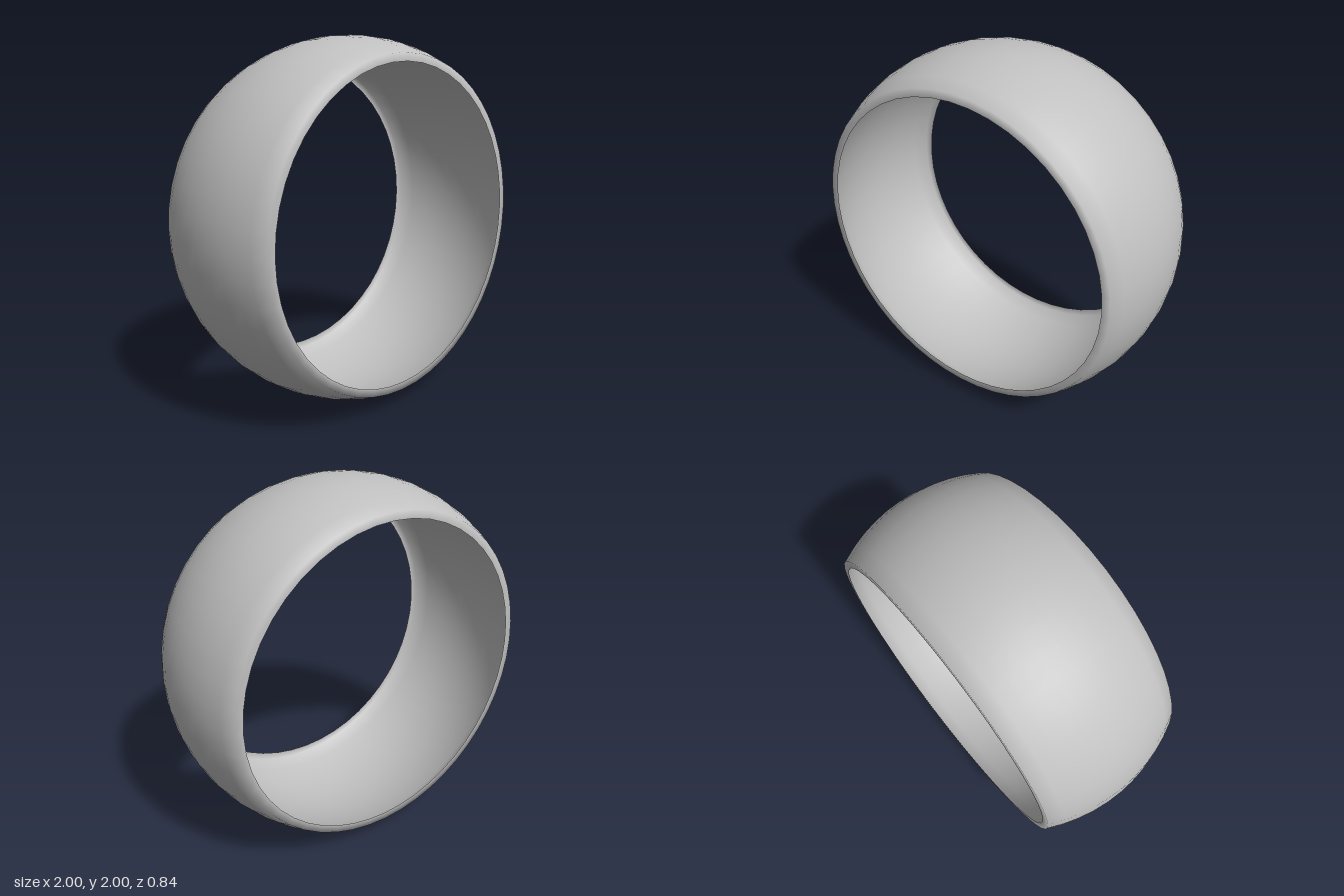
import * as THREE from 'three';

export function createModel() {
  const group = new THREE.Group();
  group.name = 'ring';

  const silver = new THREE.MeshStandardMaterial({ color: 0xc0c0c0, side: THREE.DoubleSide });
  silver.name = 'silver';

  // Cross-section: flat inward lip, bulging outer arc, flat inward lip
  const arcRadius = 0.932, arcCentre = 0.068, halfAngle = 0.4676, steps = 10;
  const halfWidth = arcRadius * Math.sin(halfAngle);
  const lipRadius = 0.857;
  const profile = [new THREE.Vector2(lipRadius, -halfWidth)];
  for (let i = 0; i <= steps; i++) {
    const a = -halfAngle + (2 * halfAngle * i) / steps;
    profile.push(new THREE.Vector2(arcCentre + arcRadius * Math.cos(a), arcRadius * Math.sin(a)));
  }
  profile.push(new THREE.Vector2(lipRadius, halfWidth));

  // Band turned about the z axis, standing on the ground
  const geometry = new THREE.LatheGeometry(profile, 48);
  geometry.rotateX(Math.PI / 2);
  geometry.translate(0, 1, 0);
  const band = new THREE.Mesh(geometry, silver);
  band.name = 'band';
  group.add(band);

  return group;
}
